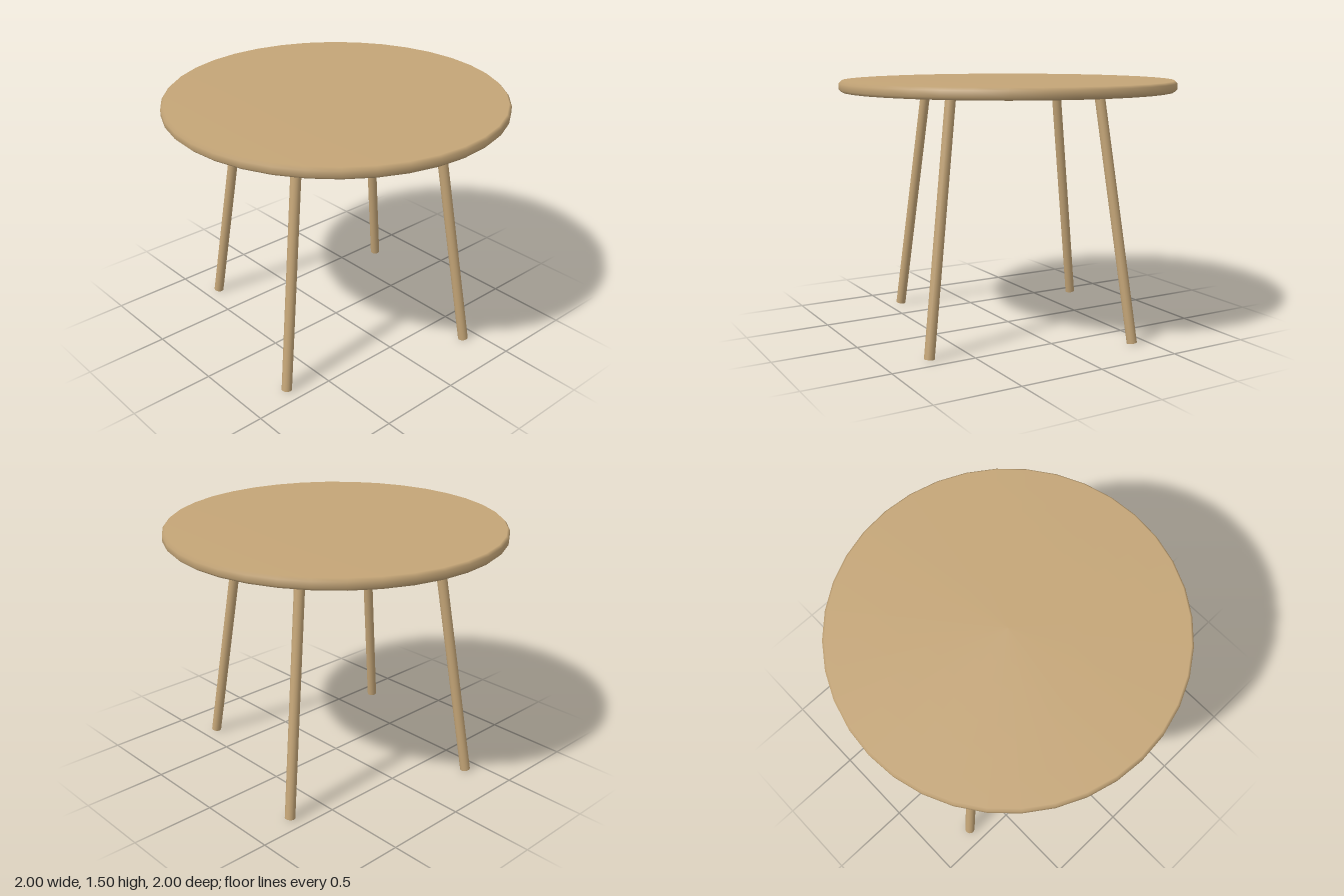
import * as THREE from 'three';

export function createModel() {
  const group = new THREE.Group();
  const wood = new THREE.MeshStandardMaterial({ color: 0xc4a577 });
  wood.name = 'light wood';

  // Round top with softly bevelled edges
  const profile = [[0, 1.44], [0.985, 1.44], [1, 1.455], [1, 1.49], [0.985, 1.505], [0, 1.505]]
    .map(([r, y]) => new THREE.Vector2(r, y));
  const top = new THREE.Mesh(new THREE.LatheGeometry(profile, 36), wood);
  top.name = 'tableTop';
  group.add(top);

  // Four splayed round legs, a quarter turn apart
  const up = new THREE.Vector3(0, 1, 0);
  const foot = new THREE.Vector3(0.403, 0.005, 0.736);
  const head = new THREE.Vector3(0.29, 1.445, 0.53);
  const axis = head.clone().sub(foot);
  const legGeometry = new THREE.CylinderGeometry(0.03, 0.03, axis.length(), 16);
  legGeometry.applyQuaternion(new THREE.Quaternion().setFromUnitVectors(up, axis.clone().normalize()));
  const middle = foot.clone().add(head).multiplyScalar(0.5);
  legGeometry.translate(middle.x, middle.y, middle.z);
  for (let i = 0; i < 4; i++) {
    const leg = new THREE.Mesh(legGeometry, wood);
    leg.name = `leg${i + 1}`;
    leg.rotation.y = i * Math.PI / 2;
    group.add(leg);
  }
  return group;
}
